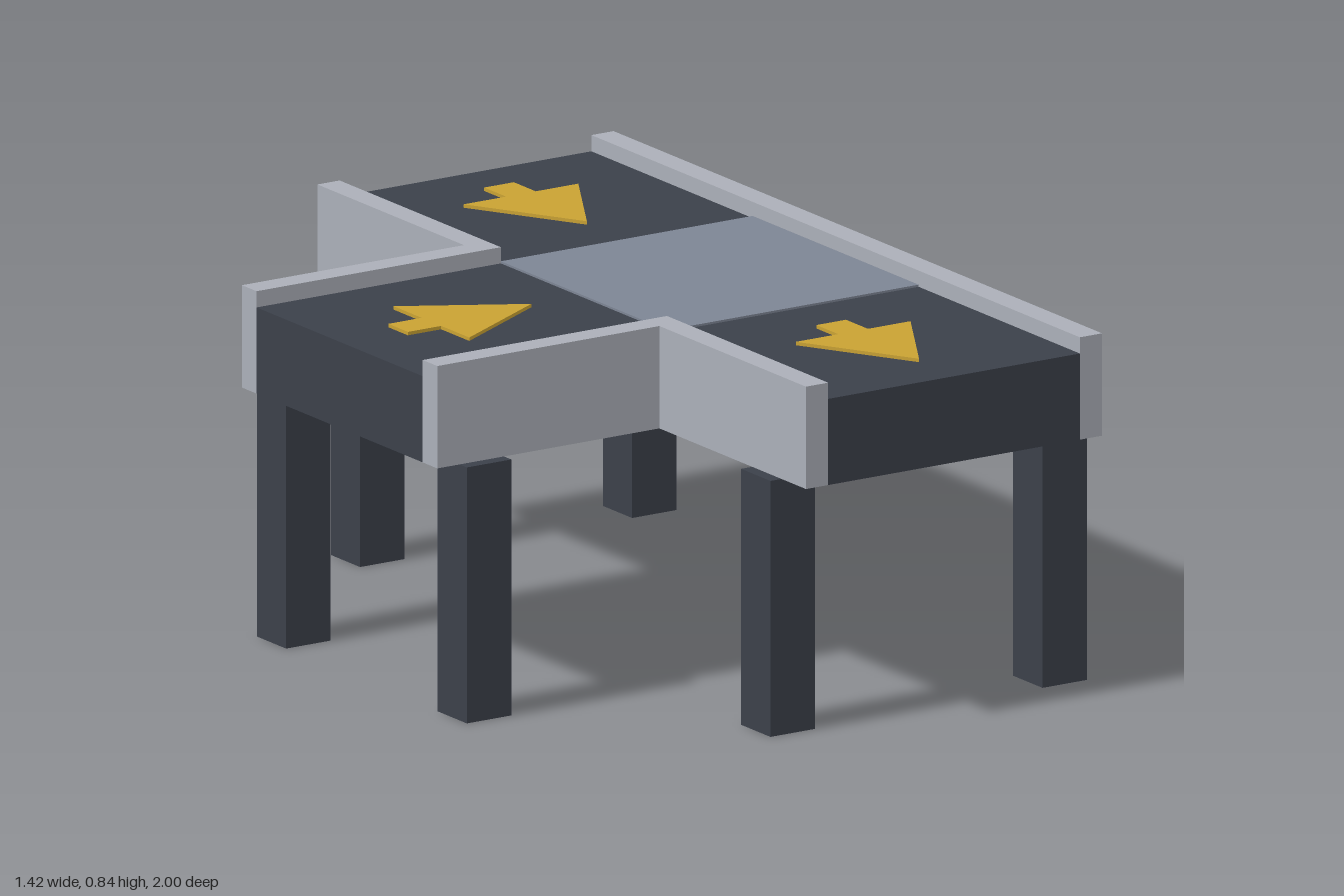
import * as THREE from 'three';

export function createModel() {
  const model = new THREE.Group();
  model.name = 'mergingConveyor';

  const material = (name, color) => {
    const m = new THREE.MeshStandardMaterial({ color });
    m.name = name;
    return m;
  };
  const charcoal = material('charcoal', 0x3b404a);
  const railGrey = material('railGrey', 0xabafb8);
  const plateGrey = material('slateGrey', 0x7d8594);
  const gold = material('gold', 0xc9a233);

  // Box given by its limits on each axis
  const box = (name, mat, [x0, x1], [y0, y1], [z0, z1]) => {
    const mesh = new THREE.Mesh(new THREE.BoxGeometry(x1 - x0, y1 - y0, z1 - z0), mat);
    mesh.position.set((x0 + x1) / 2, (y0 + y1) / 2, (z0 + z1) / 2);
    mesh.name = name;
    model.add(mesh);
  };

  const bottom = 0.6, beltTop = 0.802, railTop = 0.84;
  const inner = -0.055, outer = 0.625, rail = 0.06, end = -0.715, half = 0.34;

  // Belt beds: main line and side branch
  box('mainBelt', charcoal, [inner, outer], [bottom, beltTop], [-1, 1]);
  box('branchBelt', charcoal, [end, inner], [bottom, beltTop], [-half, half]);

  // Transfer plate at the junction
  box('junctionPlate', plateGrey, [inner, outer], [beltTop, beltTop + 0.005], [-half, half]);

  // Side rails
  const railY = [bottom, railTop];
  box('longRail', railGrey, [outer, outer + rail], railY, [-1, 1]);
  for (const s of [-1, 1]) {
    const span = (a, b) => (s > 0 ? [a, b] : [-b, -a]);
    box('shortRail', railGrey, [inner - rail, inner], railY, span(half + rail, 1));
    box('branchRail', railGrey, [end, inner], railY, span(half, half + rail));

    // Legs, slightly outside the rails
    for (const x of [-0.085, 0.65]) {
      box('mainLeg', charcoal, [x - 0.06, x + 0.06], [0, bottom], span(0.78, 0.9));
    }
    box('branchLeg', charcoal, [-0.655, -0.535], [0, bottom], span(0.31, 0.43));
  }

  // Direction arrows: drawn pointing along -y, which becomes +z when laid flat
  const arrow = new THREE.Shape([
    [0, -0.18], [0.155, 0.09], [0.04, 0.09], [0.04, 0.18],
    [-0.04, 0.18], [-0.04, 0.09], [-0.155, 0.09],
  ].map(([x, y]) => new THREE.Vector2(x, y)));
  const arrowGeometry = new THREE.ExtrudeGeometry(arrow, { depth: 0.008, bevelEnabled: false });
  arrowGeometry.rotateX(-Math.PI / 2);
  for (const [x, z, turn] of [[0.283, 0.68, 0], [0.283, -0.68, 0], [-0.377, 0, Math.PI / 2]]) {
    const mesh = new THREE.Mesh(arrowGeometry, gold);
    mesh.position.set(x, beltTop, z);
    mesh.rotation.y = turn;
    mesh.name = 'directionArrow';
    model.add(mesh);
  }

  return model;
}
